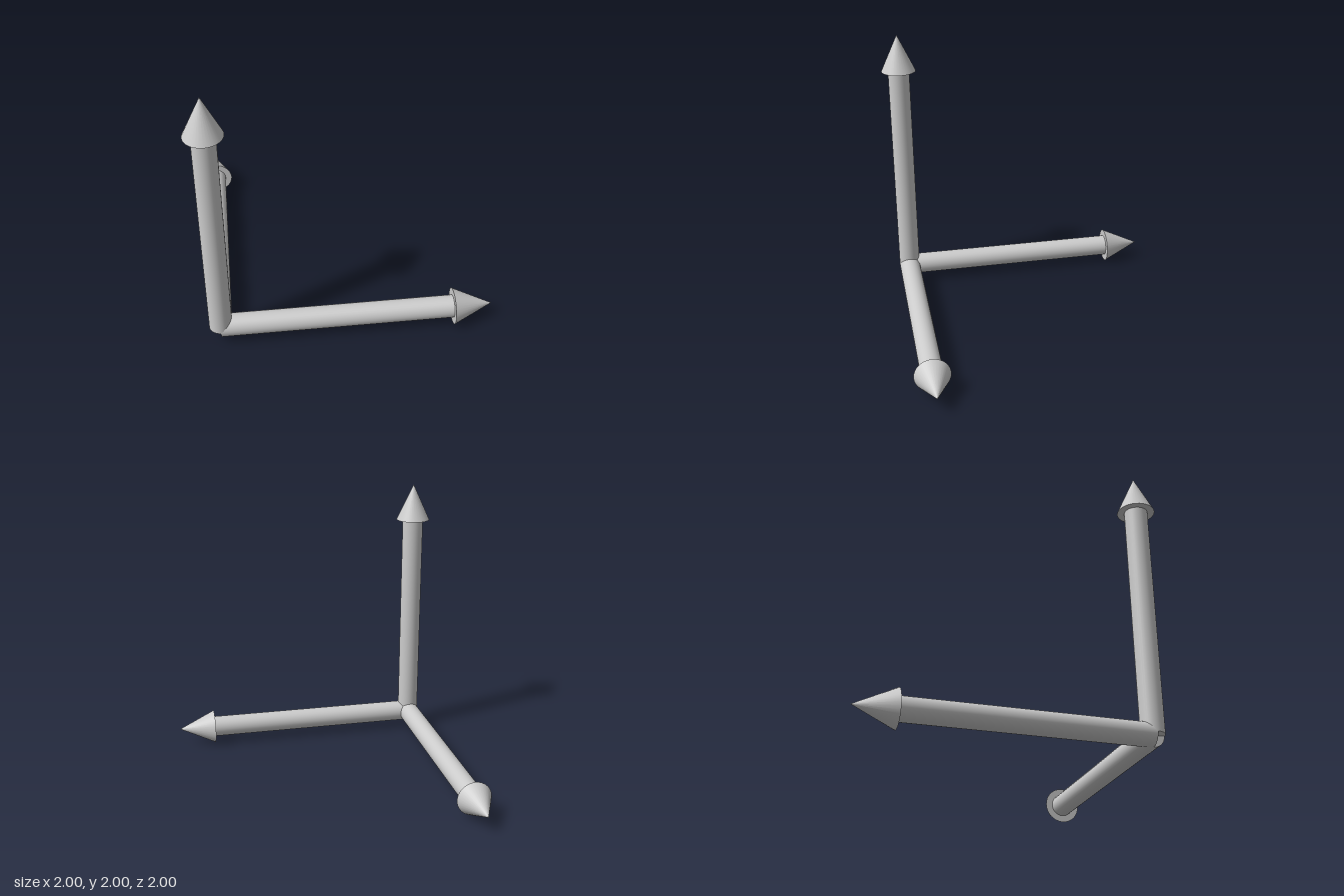
import * as THREE from 'three';

const ORIGIN = new THREE.Vector3(-0.874, 0.126, 0.874);
const SHAFT_RADIUS = 0.078, SHAFT_LENGTH = 1.602;
const HEAD_RADIUS = 0.126, HEAD_LENGTH = 0.272;
const SIDES = 32;

export function createModel() {
  const model = new THREE.Group();
  model.name = 'axisArrows';
  const material = new THREE.MeshStandardMaterial({ color: 0xcccccc });

  // Shared parts, both growing up from the arrow's start
  const shaftGeometry = new THREE.CylinderGeometry(SHAFT_RADIUS, SHAFT_RADIUS, SHAFT_LENGTH, SIDES)
    .translate(0, SHAFT_LENGTH / 2, 0);
  const headGeometry = new THREE.ConeGeometry(HEAD_RADIUS, HEAD_LENGTH, SIDES)
    .translate(0, SHAFT_LENGTH + HEAD_LENGTH / 2, 0);

  // One arrow: capped shaft and cone head, turned from +y by the given angles
  function addArrow(name, rotationX, rotationZ) {
    const arrow = new THREE.Group();
    arrow.name = name;
    const shaft = new THREE.Mesh(shaftGeometry, material);
    shaft.name = 'shaft';
    const head = new THREE.Mesh(headGeometry, material);
    head.name = 'arrowHead';
    arrow.add(shaft, head);
    arrow.rotation.set(rotationX, 0, rotationZ);
    arrow.position.copy(ORIGIN);
    model.add(arrow);
  }

  addArrow('upArrow', 0, 0);
  addArrow('sideArrow', 0, -Math.PI / 2);
  addArrow('backArrow', -Math.PI / 2, 0);

  return model;
}
